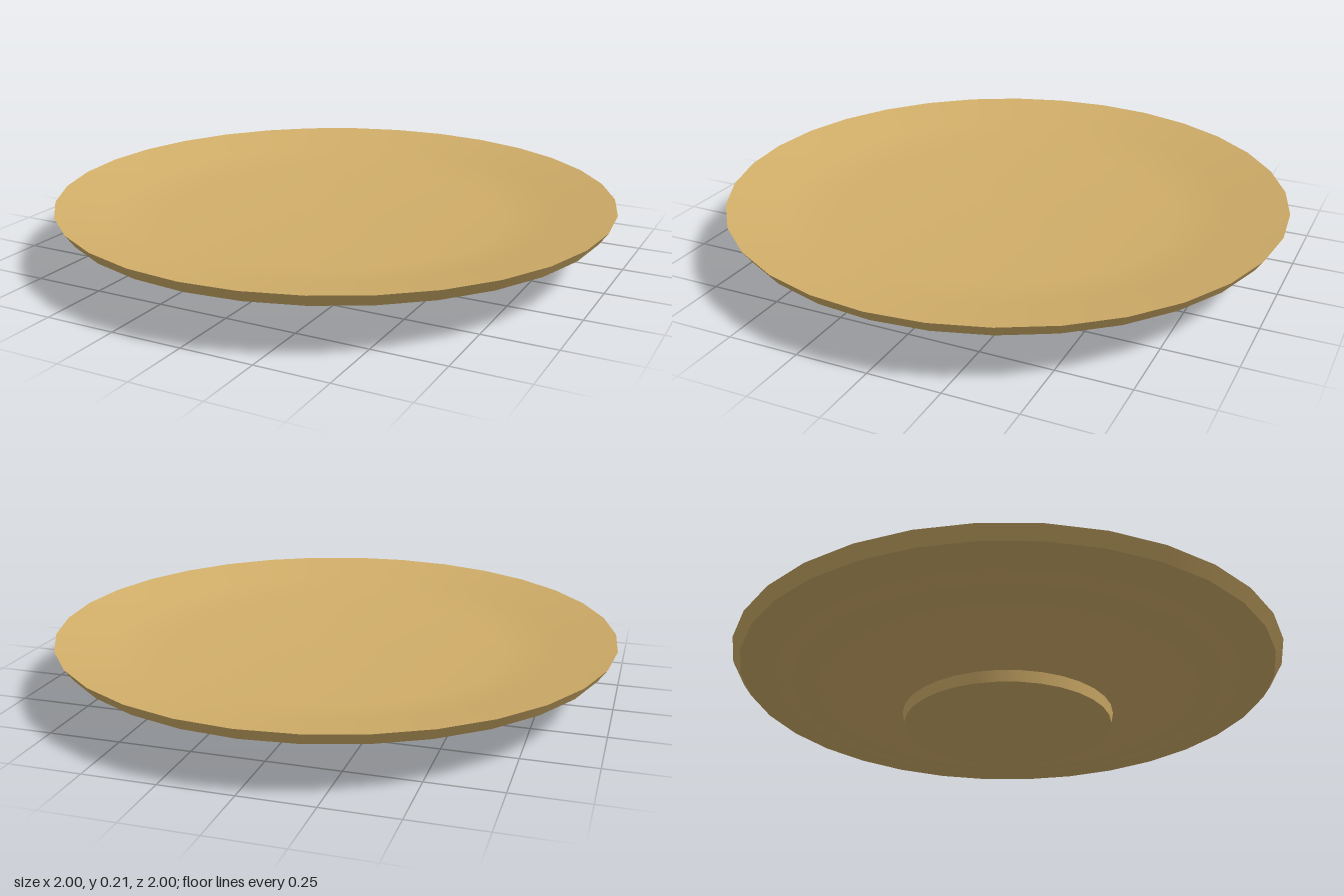
import * as THREE from 'three';

const SIDES = 32;

export function createModel() {
  const group = new THREE.Group();
  group.name = 'plate';
  const material = new THREE.MeshStandardMaterial({ color: 0xd1ae69 });

  // Each smooth band is its own lathe, so the edges between bands stay sharp.
  const band = (name, profile) => {
    const points = profile.map(([r, y]) => new THREE.Vector2(r, y));
    const mesh = new THREE.Mesh(new THREE.LatheGeometry(points, SIDES), material);
    mesh.name = name;
    group.add(mesh);
  };

  // Profiles run from the bottom centre outwards, up the rim and back in.
  band('footBase', [[0, 0], [0.375, 0]]);
  band('footWall', [[0.375, 0], [0.382, 0.04]]);
  band('underside', [[0.382, 0.04], [0.6, 0.105], [0.75, 0.122], [0.8, 0.14], [0.97, 0.167]]);
  band('rimEdge', [[0.97, 0.167], [1, 0.21]]);
  band('dish', [[1, 0.21], [0.8, 0.172], [0.6, 0.137], [0, 0.133]]);

  return group;
}
